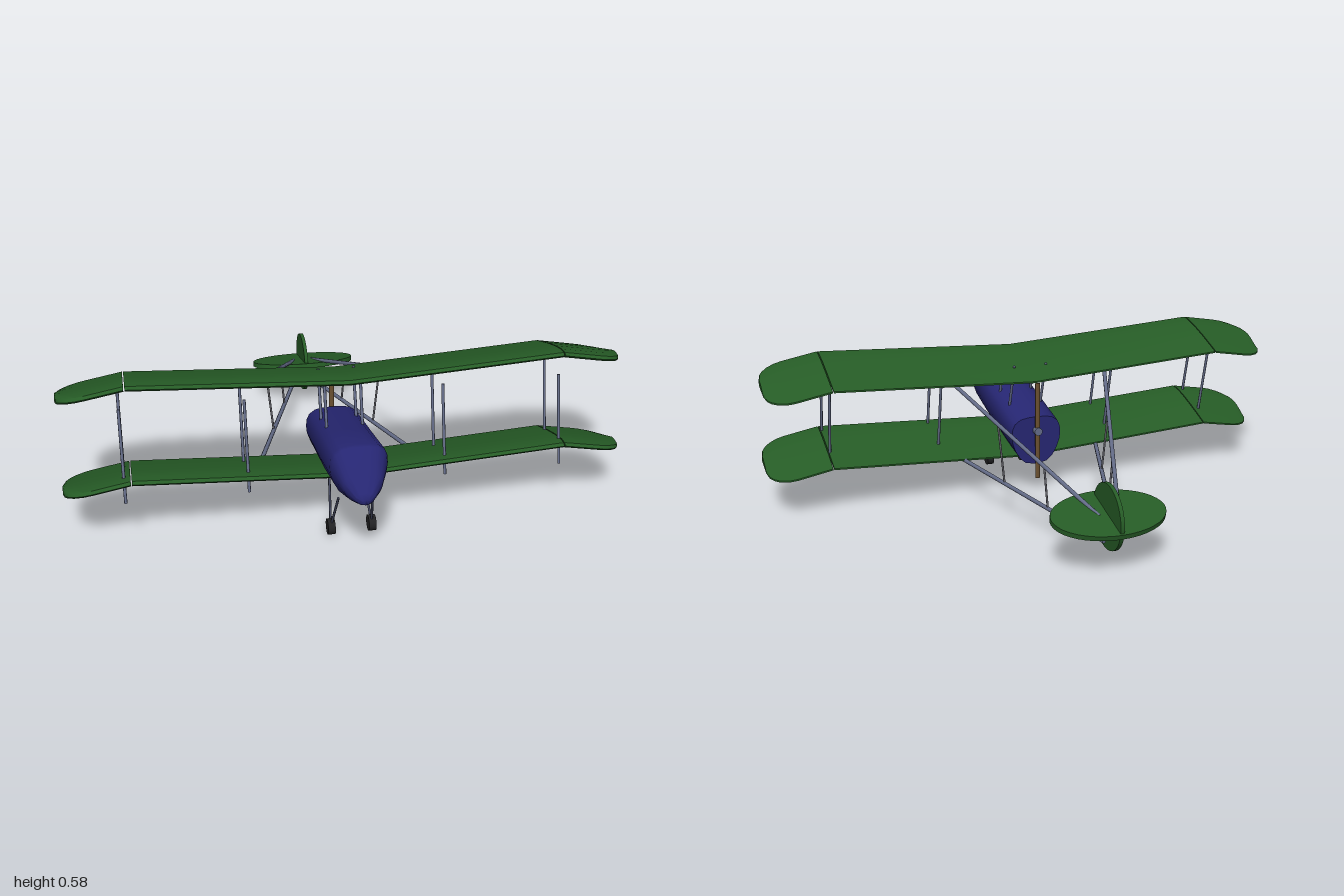
import * as THREE from 'three';
import { toCreasedNormals } from 'three/addons/utils/BufferGeometryUtils.js';

const V = (x, y, z) => new THREE.Vector3(x, y, z);
const CX = -0.015; // centreline of the body and tail

// Skin a row of closed rings and cap both ends
function loft(rings, crease) {
  const n = rings[0].length, pos = [];
  const tri = (a, b, c) => [a, b, c].forEach((p) => pos.push(p.x, p.y, p.z));
  for (let i = 0; i < rings.length - 1; i++) {
    for (let j = 0; j < n; j++) {
      const k = (j + 1) % n;
      const a = rings[i][j], b = rings[i][k], c = rings[i + 1][k], d = rings[i + 1][j];
      tri(a, b, c);
      tri(a, c, d);
    }
  }
  const first = rings[0], last = rings[rings.length - 1];
  for (let j = 1; j < n - 1; j++) {
    tri(first[0], first[j + 1], first[j]);
    tri(last[0], last[j], last[j + 1]);
  }
  const g = new THREE.BufferGeometry();
  g.setAttribute('position', new THREE.Float32BufferAttribute(pos, 3));
  return toCreasedNormals(g, crease);
}

export function createModel() {
  const model = new THREE.Group();
  model.name = 'biplane';
  const mat = (name, color) => {
    const m = new THREE.MeshStandardMaterial({ color });
    m.name = name;
    return m;
  };
  const green = mat('greenFabric', 0x265c26);
  const blue = mat('blueBody', 0x262672);
  const steel = mat('steelStrut', 0x646c88);
  const grey = mat('greyWire', 0x6c6c74);
  const dark = mat('darkLeg', 0x40445a);
  const black = mat('blackTyre', 0x222224);
  const wood = mat('brownWood', 0x6b5030);

  const add = (name, geo, material) => {
    const m = new THREE.Mesh(geo, material);
    m.name = name;
    model.add(m);
    return m;
  };
  const rod = (name, a, b, r, material) => {
    const dir = b.clone().sub(a);
    const m = add(name, new THREE.CylinderGeometry(r, r, dir.length(), 8), material);
    m.position.copy(a).add(b).multiplyScalar(0.5);
    m.quaternion.setFromUnitVectors(V(0, 1, 0), dir.normalize());
  };

  // Wings: [chord fraction from the leading edge, height], trailing edge forward over the top
  const airfoil = [[1, 0.003], [0.82, 0.009], [0.6, 0.015], [0.35, 0.019], [0.15, 0.018], [0.04, 0.011],
    [0, 0], [0.04, -0.008], [0.3, -0.008], [0.65, -0.006], [1, -0.003]];
  const KINK = 0.766, CHORD = 0.295, SLOPE = 0.24, R = 0.1;
  const wingRing = (x, y0, z0) => {
    const ax = Math.abs(x), d = Math.max(0, R - (1 - ax));
    const inset = R - Math.sqrt(R * R - d * d);
    const lift = ax < KINK ? -0.044 * (1 - ax / KINK) : -0.042 * (ax - KINK) / (1 - KINK);
    const chord = CHORD - 2 * inset;
    return airfoil.map(([t, h]) => {
      const z = (0.5 - t) * chord;
      return V(x, y0 + lift + SLOPE * z + h, z0 + z);
    });
  };
  const tipXs = [0.768, 0.9, 0.93, 0.96, 0.98, 0.993, 1];
  const panels = {
    CentrePanel: [-0.764, 0, 0.764],
    LeftTip: tipXs,
    RightTip: tipXs.map((x) => -x).reverse(),
  };
  for (const [wing, y, z] of [['upper', 0.539, 0.2275], ['lower', 0.219, 0.3025]]) {
    for (const [panel, xs] of Object.entries(panels)) {
      add(wing + panel, loft(xs.map((x) => wingRing(x, y, z)), 0.6), green);
    }
  }

  // Body: half section as [width fraction, height fraction], top to bottom
  const half = [[0, 1], [0.35, 0.995], [0.65, 0.965], [0.88, 0.88], [0.98, 0.76], [1, 0.62], [0.97, 0.48],
    [0.86, 0.32], [0.68, 0.16], [0.45, 0.05], [0, 0]];
  const section = [...half.map(([x, y]) => [-x, y]), ...half.slice(1, -1).reverse()];
  // [z, bottom, top, half width]
  const stations = [[0.106, 0.12, 0.313, 0.099], [0.41, 0.167, 0.377, 0.099], [0.595, 0.211, 0.416, 0.099],
    [0.612, 0.216, 0.414, 0.094], [0.67, 0.236, 0.342, 0.066], [0.71, 0.25, 0.293, 0.032], [0.723, 0.257, 0.277, 0.012]];
  add('fuselage', loft(stations.map(([z, lo, hi, w]) =>
    section.map(([x, y]) => V(CX + x * w, lo + y * (hi - lo), z))), 1.2), blue);

  // Pusher propeller
  const hub = add('propellerHub', new THREE.CylinderGeometry(0.016, 0.016, 0.024, 12), steel);
  hub.rotation.x = Math.PI / 2;
  hub.position.set(CX, 0.26, 0.09);
  const blade = add('propeller', new THREE.CylinderGeometry(0.01, 0.01, 0.384, 10), wood);
  blade.scale.z = 0.5;
  blade.position.set(CX, 0.26, 0.09);

  // Tail surfaces
  const tailplane = add('tailplane', new THREE.CylinderGeometry(1, 1, 0.018, 40), green);
  tailplane.scale.set(0.208, 1, 0.129);
  tailplane.rotation.x = -0.25;
  tailplane.position.set(CX, 0.182, -0.594);
  const fin = add('tailFin', new THREE.CylinderGeometry(0.118, 0.118, 0.014, 40), green);
  fin.rotation.z = Math.PI / 2;
  fin.position.set(CX, 0.177, -0.597);

  for (const s of [-1, 1]) {
    const side = s > 0 ? 'left' : 'right';
    const P = (x, y, z) => V(CX + s * x, y, z);

    // Struts between the wings
    for (const x of [0.35, 0.775]) {
      rod(side + 'FrontWingStrut', P(x, 0.488, 0.342), P(x, 0.168, 0.42), 0.0055, steel);
      rod(side + 'RearWingStrut', P(x, 0.484, 0.188), P(x, 0.168, 0.262), 0.0055, steel);
    }
    // Struts from the body to the upper wing
    rod(side + 'FrontBodyStrut', P(0.064, 0.503, 0.3), P(0.064, 0.345, 0.346), 0.0055, steel);
    rod(side + 'RearBodyStrut', P(0.064, 0.503, 0.172), P(0.064, 0.315, 0.238), 0.0055, steel);

    // Tail booms joined by thin posts
    const top = [P(0.31, 0.46, 0.175), P(0.035, 0.183, -0.6)];
    const low = [P(0.277, 0.152, 0.175), P(0.025, 0.098, -0.62)];
    rod(side + 'UpperBoom', ...top, 0.008, steel);
    rod(side + 'LowerBoom', ...low, 0.008, steel);
    const atZ = ([a, b], z) => a.clone().lerp(b, (z - a.z) / (b.z - a.z));
    for (const z of [-0.083, -0.328]) {
      rod(side + 'BoomPost', atZ(top, z), atZ(low, z), 0.004, grey);
    }

    // Undercarriage
    rod(side + 'FrontLeg', P(0.06, 0.187, 0.548), P(0.073, 0.03, 0.474), 0.0045, dark);
    rod(side + 'RearLeg', P(0.06, 0.187, 0.37), P(0.073, 0.03, 0.474), 0.0045, dark);
    const wheel = add(side + 'Wheel', new THREE.CylinderGeometry(0.029, 0.029, 0.026, 16), black);
    wheel.rotation.z = Math.PI / 2;
    wheel.position.copy(P(0.073, 0.03, 0.474));
  }
  return model;
}
